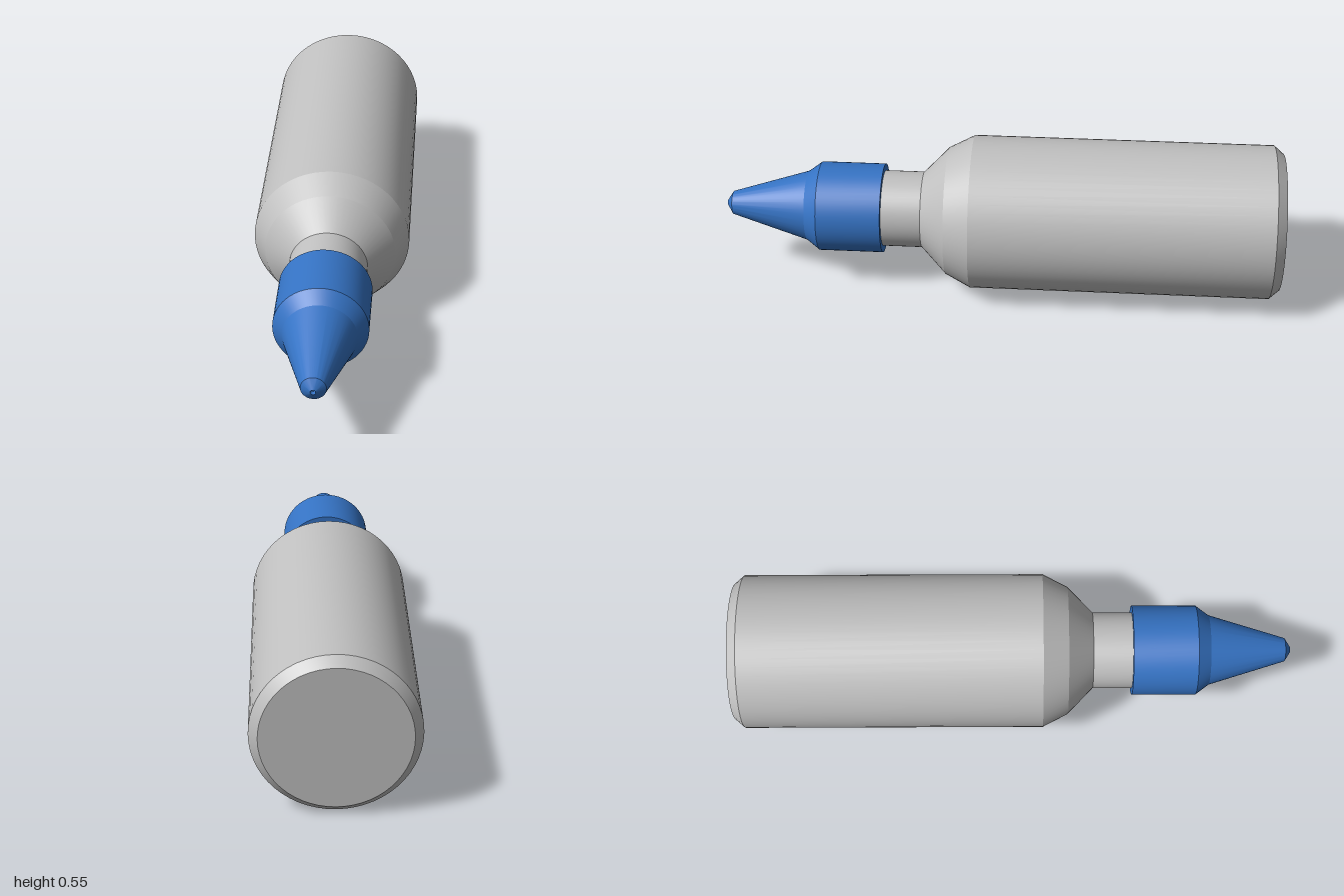
import * as THREE from 'three';
import { toCreasedNormals } from 'three/addons/utils/BufferGeometryUtils.js';

const RADIUS = 0.276;

// Turns a [radius, z] profile around the long axis, which points to +z
function turned(name, profile, material) {
  const points = profile.map(([r, z]) => new THREE.Vector2(r, z));
  const geometry = new THREE.LatheGeometry(points, 56);
  geometry.rotateX(Math.PI / 2);
  geometry.translate(0, RADIUS, 0);
  const mesh = new THREE.Mesh(toCreasedNormals(geometry, 0.28), material);
  mesh.name = name;
  return mesh;
}

export function createModel() {
  const grey = new THREE.MeshStandardMaterial({ color: 0xc0c0c0 });
  grey.name = 'grey plastic';
  const blue = new THREE.MeshStandardMaterial({ color: 0x3573c4 });
  blue.name = 'blue plastic';

  const group = new THREE.Group();
  group.name = 'nozzleBottle';

  // Bottle with chamfered base and two-step shoulder
  group.add(turned('bottleBody', [
    [0, -1], [0.246, -1], [RADIUS, -0.965], [RADIUS, 0.105],
    [0.23, 0.195], [0.137, 0.285],
  ], grey));

  // Neck, running up inside the cap
  group.add(turned('neck', [[0.137, 0.28], [0.137, 0.64], [0, 0.64]], grey));

  // Cap collar, closed underneath around the neck
  group.add(turned('capCollar', [
    [0.13, 0.426], [0.161, 0.426], [0.161, 0.656], [0.126, 0.703],
  ], blue));

  // Tapered nozzle with a tiny outlet in the tip
  group.add(turned('nozzle', [
    [0.126, 0.703], [0.042, 0.979], [0.009, 1], [0.007, 0.985], [0, 0.985],
  ], blue));

  return group;
}
